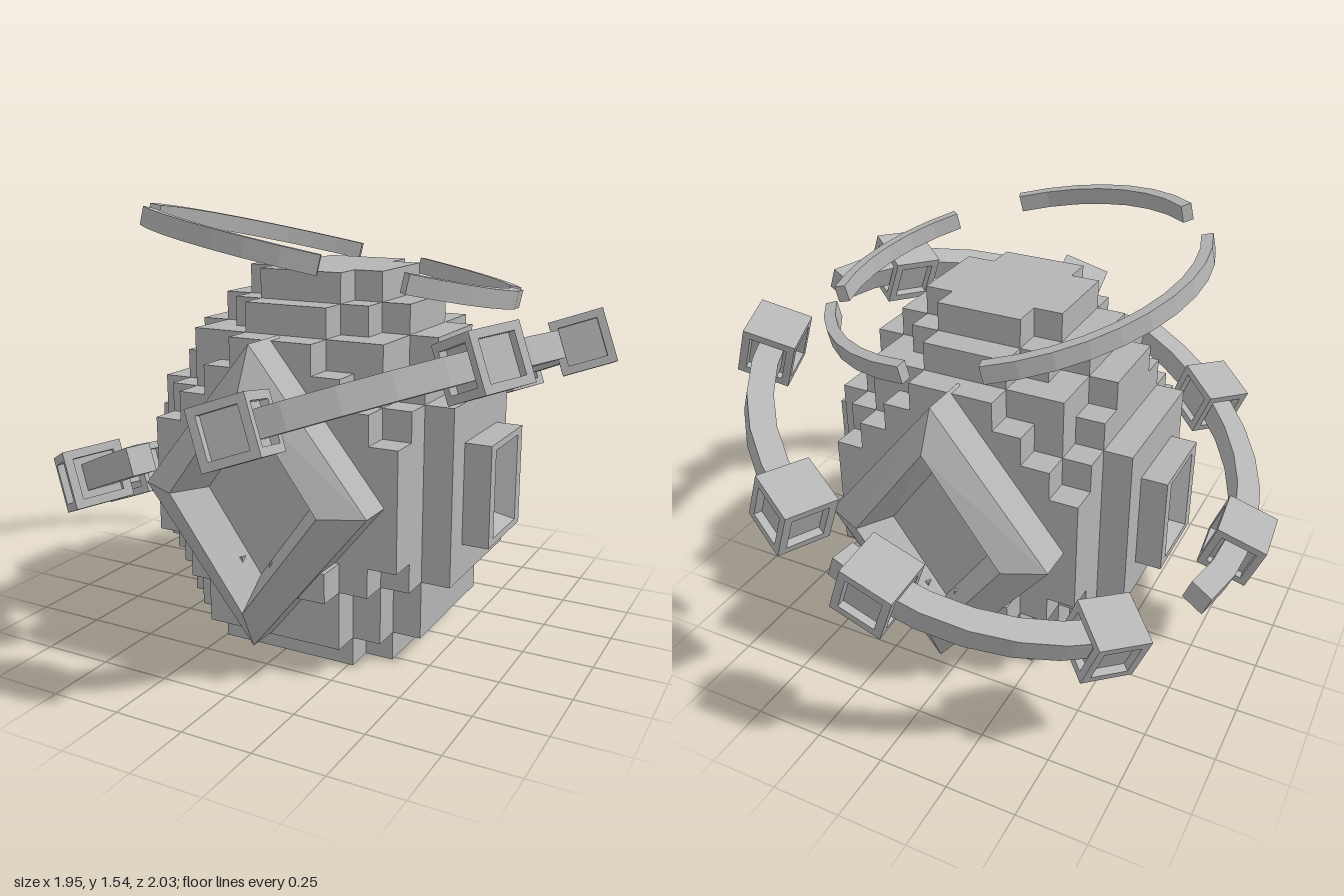
import * as THREE from 'three';
import { mergeGeometries } from 'three/addons/utils/BufferGeometryUtils.js';

const stone = new THREE.MeshStandardMaterial({ color: 0xb4b4b4 });
stone.name = 'grey stone';

function add(parent, geometry, name) {
  const mesh = new THREE.Mesh(geometry, stone);
  mesh.name = name;
  parent.add(mesh);
  return mesh;
}

// Blocky ball: each layer is a disc of cells; only exposed faces are made
function blockBall(cell) {
  const limits = [13, 20, 24, 30, 32, 32, 32, 32, 30, 24, 18, 10, 5];
  const filled = (i, j, k) => {
    if (j < 0 || j >= limits.length || i * i + k * k > limits[j]) return false;
    if (Math.abs(k) === 5) return j === 3 && i !== 0;
    return true;
  };
  const sides = [[1, 0, 0], [-1, 0, 0], [0, 1, 0], [0, -1, 0], [0, 0, 1], [0, 0, -1]];
  const front = new THREE.Vector3(0, 0, 1);
  const faces = [];
  for (let j = 0; j < limits.length; j++)
    for (let i = -5; i <= 5; i++)
      for (let k = -5; k <= 5; k++) {
        if (!filled(i, j, k)) continue;
        for (const [a, b, c] of sides) {
          if (filled(i + a, j + b, k + c)) continue;
          const turn = new THREE.Quaternion();
          if (c === -1) turn.setFromAxisAngle(new THREE.Vector3(0, 1, 0), Math.PI);
          else turn.setFromUnitVectors(front, new THREE.Vector3(a, b, c));
          faces.push(new THREE.PlaneGeometry(cell, cell).applyQuaternion(turn)
            .translate((i + a / 2) * cell, (j + 0.5 + b / 2) * cell, (k + c / 2) * cell));
        }
      }
  return mergeGeometries(faces);
}

// Four-sided frame lofted through [halfWidth, halfHeight, depth] loops, ending in a floor
function loftFrame(corners, loops) {
  const rings = loops.map(([w, h, z]) => corners.map(([x, y]) => [x * w, y * h, z]));
  const pos = [];
  const quad = (a, b, c, d) => pos.push(...a, ...b, ...c, ...a, ...c, ...d);
  for (let r = 0; r < rings.length - 1; r++)
    for (let i = 0; i < 4; i++) {
      const n = (i + 1) % 4;
      quad(rings[r][i], rings[r][n], rings[r + 1][n], rings[r + 1][i]);
    }
  quad(...rings[rings.length - 1]);
  const geo = new THREE.BufferGeometry();
  geo.setAttribute('position', new THREE.Float32BufferAttribute(pos, 3));
  geo.computeVertexNormals();
  return geo;
}

// Flat curved bar between two angles
function arcBar(radius, width, height, from, sweep) {
  const steps = Math.max(3, Math.round(Math.abs(sweep) / 0.17));
  const points = [];
  for (let s = 0; s <= steps; s++) {
    const t = from + sweep * s / steps, r = radius + width / 2;
    points.push(new THREE.Vector2(r * Math.cos(t), r * Math.sin(t)));
  }
  for (let s = steps; s >= 0; s--) {
    const t = from + sweep * s / steps, r = radius - width / 2;
    points.push(new THREE.Vector2(r * Math.cos(t), r * Math.sin(t)));
  }
  return new THREE.ExtrudeGeometry(new THREE.Shape(points), { depth: height, bevelEnabled: false })
    .rotateX(Math.PI / 2).translate(0, height / 2, 0);
}

// Cube bead with a recessed square window on its four upright sides
function beadGeometry() {
  const size = 0.19, rim = 0.028, h = size / 2, q = h - rim;
  const square = (Type, s) => new Type([[-s, -s], [s, -s], [s, s], [-s, s]].map(p => new THREE.Vector2(...p)));
  const shape = square(THREE.Shape, h);
  shape.holes.push(square(THREE.Path, q));
  const parts = [new THREE.BoxGeometry(2 * q, size, 2 * q).toNonIndexed()];
  for (let i = 0; i < 4; i++)
    parts.push(new THREE.ExtrudeGeometry(shape, { depth: rim, bevelEnabled: false })
      .translate(0, 0, q).rotateY(i * Math.PI / 2));
  return mergeGeometries(parts);
}

// Tilted ring plane: y rises by slopeX along x and slopeZ along z
function tiltedRing(name, center, slopeX, slopeZ) {
  const group = new THREE.Group();
  group.name = name;
  group.position.set(...center);
  group.quaternion.setFromUnitVectors(new THREE.Vector3(0, 1, 0),
    new THREE.Vector3(-slopeX, 1, -slopeZ).normalize());
  const inverse = group.quaternion.clone().invert();
  // angle around the ring of the point above a plan position
  const angle = ([x, z]) => {
    const dx = x - center[0], dz = z - center[2];
    const p = new THREE.Vector3(dx, slopeX * dx + slopeZ * dz, dz).applyQuaternion(inverse);
    return Math.atan2(p.z, p.x);
  };
  const arc = (a, b, radius, width, height) => {
    const from = angle(a);
    let sweep = angle(b) - from;
    if (sweep > Math.PI) sweep -= 2 * Math.PI;
    if (sweep < -Math.PI) sweep += 2 * Math.PI;
    if (sweep < 0) return arcBar(radius, width, height, from + sweep, -sweep);
    return arcBar(radius, width, height, from, sweep);
  };
  return { group, angle, arc };
}

export function createModel() {
  const model = new THREE.Group();
  model.name = 'floatingBlockCore';

  // Body
  const body = new THREE.Group();
  body.name = 'body';
  body.position.set(0.01, 0, 0.013);
  model.add(body);
  add(body, blockBall(0.1023), 'blockBall');

  // Diamond frames on front and back, rectangular windows on the sides
  const diamond = loftFrame([[1, 0], [0, 1], [-1, 0], [0, -1]],
    [[0.415, 0.51, 0.4], [0.415, 0.51, 0.585], [0.275, 0.37, 0.65], [0.2, 0.275, 0.53]]);
  const panel = loftFrame([[1, -1], [1, 1], [-1, 1], [-1, -1]],
    [[0.155, 0.178, 0.5], [0.155, 0.178, 0.657], [0.11, 0.154, 0.657], [0.072, 0.125, 0.59]]);
  for (const turn of [0, Math.PI]) {
    const frame = add(body, diamond, turn ? 'backDiamondFrame' : 'frontDiamondFrame');
    frame.position.y = 0.624;
    frame.rotation.y = turn;
    const side = add(body, panel, turn ? 'rightWindow' : 'leftWindow');
    side.position.y = 0.605;
    side.rotation.y = turn + Math.PI / 2;
  }

  // Thin broken halo above
  const halo = tiltedRing('halo', [0.005, 1.363, 0.03], -0.18, 0.134);
  model.add(halo.group);
  for (const [a, b] of [
    [[-0.19, -0.59], [-0.6, 0.25]], [[0.07, -0.62], [0.58, -0.25]],
    [[0.64, -0.14], [0.49, 0.48]], [[-0.44, 0.48], [0.28, 0.63]],
  ]) add(halo.group, halo.arc(a, b, 0.655, 0.04, 0.062), 'haloArc');

  // Wide broken ring with two beads on each arc
  const radius = 0.915;
  const ring = tiltedRing('beadRing', [0, 0.78, -0.01], 0.386, 0.116);
  model.add(ring.group);
  const bead = beadGeometry();
  for (const [a, b, ...beads] of [
    [[-0.82, -0.25], [-0.2, 0.89], [-0.855, 0.095], [-0.525, 0.735]],
    [[0.145, 0.885], [0.86, 0.15], [0.145, 0.885], [0.74, 0.45]],
    [[0.82, -0.3], [0.37, -0.86], [0.82, -0.3], [0.37, -0.86]],
    [[0.15, -0.91], [-0.63, -0.61], [0.015, -0.92], [-0.63, -0.61]],
  ]) {
    add(ring.group, ring.arc(a, b, radius, 0.09, 0.088), 'ringArc');
    for (const place of beads) {
      const t = ring.angle(place);
      const cube = add(ring.group, bead, 'ringBead');
      cube.position.set(radius * Math.cos(t), 0, radius * Math.sin(t));
      cube.rotation.y = -t;
    }
  }
  return model;
}
